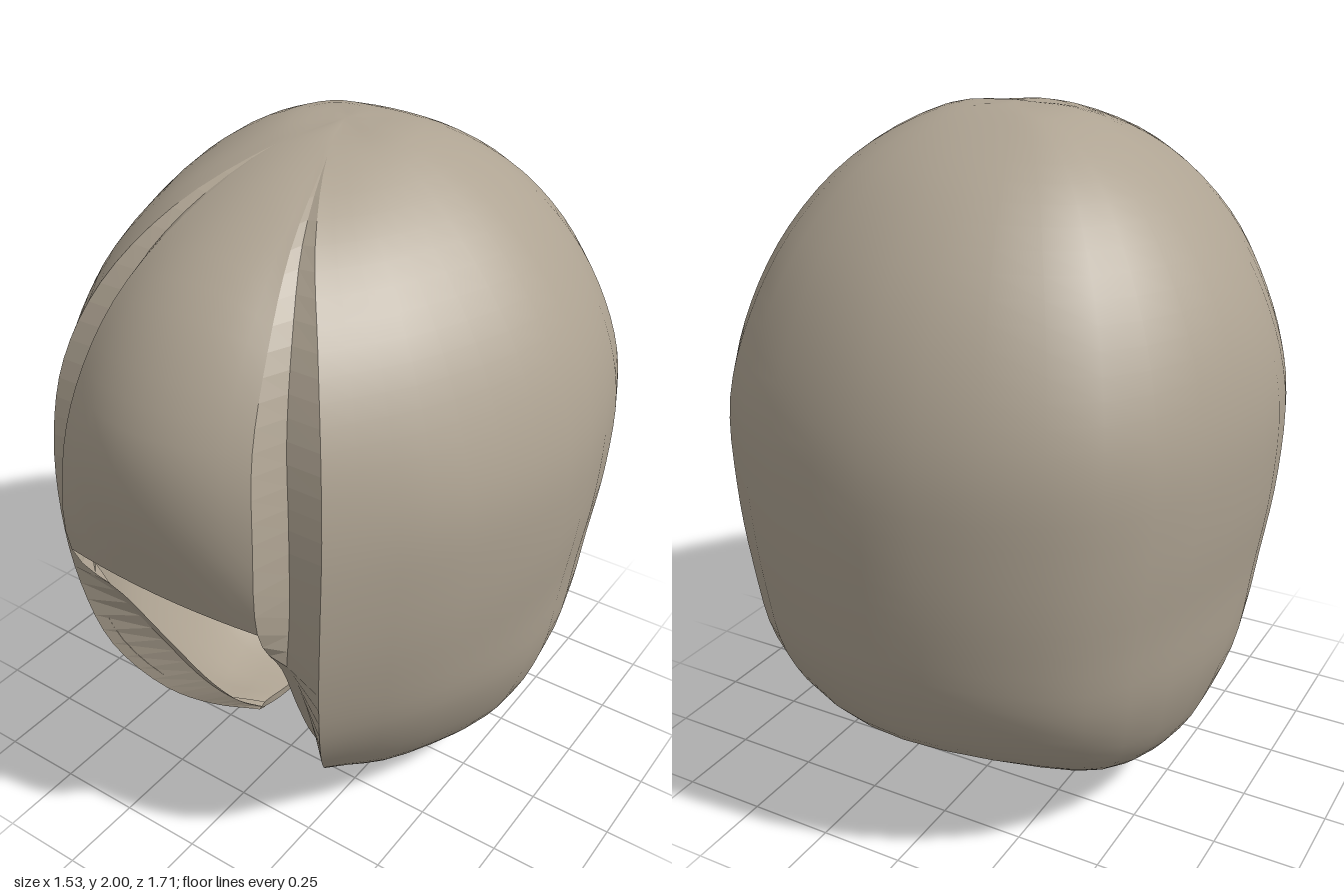
import * as THREE from 'three';
import { mergeGeometries, mergeVertices } from 'three/addons/utils/BufferGeometryUtils.js';

const STEP = 4; // subdivisions between control points
const ROWS = 11; // intervals from crown to hem
const FRINGE_ROWS = 6; // intervals from crown to fringe edge

const curve = (pts) => new THREE.CatmullRomCurve3(pts.map((p) => new THREE.Vector3(...p)));
const flip = (v) => new THREE.Vector3(-v.x, v.y, v.z);

// Meridians from crown to hem, flap corner round to the back centre
const corner = curve([[0, 2, -0.05], [0.08, 1.97, 0.15], [0.22, 1.85, 0.4], [0.34, 1.67, 0.56],
  [0.41, 1.47, 0.65], [0.44, 1.25, 0.69], [0.44, 1, 0.7], [0.42, 0.75, 0.68],
  [0.38, 0.5, 0.62], [0.3, 0.27, 0.49], [0.23, 0.14, 0.36], [0.15, 0.05, 0.22]]);
const cheek = curve([[0, 2, -0.05], [0.15, 1.97, 0.08], [0.34, 1.85, 0.22], [0.5, 1.67, 0.3],
  [0.6, 1.47, 0.34], [0.66, 1.25, 0.36], [0.66, 1, 0.36], [0.63, 0.75, 0.35],
  [0.58, 0.5, 0.32], [0.46, 0.23, 0.24], [0.32, 0.08, 0.18], [0.15, 0.02, 0.1]]);
const side = curve([[0, 2, -0.05], [0.2, 1.98, -0.05], [0.43, 1.85, -0.07], [0.6, 1.67, -0.09],
  [0.71, 1.47, -0.1], [0.76, 1.25, -0.1], [0.755, 1, -0.1], [0.72, 0.75, -0.1],
  [0.68, 0.48, -0.1], [0.57, 0.23, -0.1], [0.4, 0.08, -0.09], [0.16, 0, -0.06]]);
const backSide = curve([[0, 2, -0.05], [0.15, 1.98, -0.2], [0.32, 1.86, -0.36], [0.44, 1.68, -0.49],
  [0.52, 1.47, -0.58], [0.56, 1.25, -0.64], [0.555, 1, -0.65], [0.53, 0.75, -0.64],
  [0.5, 0.5, -0.6], [0.44, 0.29, -0.48], [0.32, 0.17, -0.36], [0.11, 0.1, -0.25]]);
const back = curve([[0, 2, -0.05], [0, 1.99, -0.2], [0, 1.87, -0.46], [0, 1.69, -0.65],
  [0, 1.49, -0.77], [0, 1.25, -0.84], [0, 1, -0.85], [0, 0.75, -0.83],
  [0, 0.55, -0.79], [0, 0.37, -0.7], [0, 0.34, -0.55], [0, 0.28, -0.4]]);

// Fringe edge, continuing down as the inner edge of the flap
const inner = curve([[0, 2, -0.05], [0.08, 1.97, 0.15], [0.17, 1.84, 0.43], [0.24, 1.67, 0.62],
  [0.28, 1.47, 0.74], [0.31, 1.25, 0.79], [0.315, 0.98, 0.79], [0.28, 0.75, 0.65],
  [0.23, 0.5, 0.52], [0.19, 0.28, 0.4], [0.16, 0.14, 0.3], [0.14, 0.05, 0.2]]);
const fringeCentre = curve([[0, 2, -0.05], [0, 1.98, 0.13], [0, 1.9, 0.37], [0, 1.72, 0.66],
  [0, 1.47, 0.83], [0, 1.25, 0.86], [0, 0.98, 0.81]]);

// Grid of quads; rows run down, columns run rightwards seen from outside
function grid(rows, cols, point, reversed = false) {
  const pos = [], idx = [];
  for (let i = 0; i <= rows; i++) {
    for (let j = 0; j <= cols; j++) pos.push(...point(i, j).toArray());
  }
  for (let i = 0; i < rows; i++) {
    for (let j = 0; j < cols; j++) {
      const a = i * (cols + 1) + j, b = a + cols + 1;
      idx.push(...(reversed ? [a, b + 1, b, a, a + 1, b + 1] : [a, b, b + 1, a, b + 1, a + 1]));
    }
  }
  const g = new THREE.BufferGeometry();
  g.setAttribute('position', new THREE.Float32BufferAttribute(pos, 3));
  g.setIndex(idx);
  return g;
}

function smooth(g) {
  const merged = mergeVertices(g, 1e-4);
  merged.computeVertexNormals();
  return merged;
}

export function createModel() {
  const model = new THREE.Group();
  const taupe = new THREE.MeshStandardMaterial({ color: 0xaea392, side: THREE.DoubleSide });
  taupe.name = 'taupe';
  const add = (name, geometry) => {
    const mesh = new THREE.Mesh(geometry, taupe);
    mesh.name = name;
    model.add(mesh);
  };

  const rows = ROWS * STEP, cols = 8 * STEP;
  const cornerAt = (i) => corner.getPoint(i / rows);
  const innerAt = (i) => (i <= STEP ? cornerAt(i) : inner.getPoint(i / rows));

  // Rings around the sides and back
  const rings = [];
  for (let i = 0; i <= rows; i++) {
    const half = [corner, cheek, side, backSide].map((c) => c.getPoint(i / rows));
    const ring = [...half, back.getPoint(i / rows), ...half.map(flip).reverse()];
    const loop = new THREE.CatmullRomCurve3(ring, false, 'catmullrom', 0.5);
    rings.push(Array.from({ length: cols + 1 }, (_, j) => loop.getPoint(j / cols)));
  }
  const shell = grid(rows, cols, (i, j) => rings[i][j]);

  // Fringe, bowed forward between its two edges
  const fringeRows = FRINGE_ROWS * STEP, fringeCols = 10;
  const fringe = grid(fringeRows, fringeCols, (i, j) => {
    const s = (j / fringeCols) * 2 - 1;
    const edge = innerAt(i), mid = fringeCentre.getPoint(i / fringeRows);
    const p = mid.lerp(edge, s * s);
    p.x = edge.x * s;
    return p;
  });
  add('outerHair', smooth(mergeGeometries([shell, fringe])));

  // Lining set in from the outer shell, and the hem joining the two
  const normals = shell.clone();
  normals.computeVertexNormals();
  const n = normals.attributes.normal;
  const liningAt = (i, j) => {
    const v = new THREE.Vector3().fromBufferAttribute(n, i * (cols + 1) + j);
    if (i === 0) v.set(0, 1, 0);
    return rings[i][j].clone().addScaledVector(v, -0.035);
  };
  add('lining', smooth(grid(rows, cols, liningAt, true)));
  add('hem', smooth(grid(1, cols, (i, j) => (i ? liningAt(rows, j) : rings[rows][j]))));

  // Folded facets between each flap corner and the fringe
  const foldAt = (i, j) => {
    const a = cornerAt(i), g = innerAt(i);
    if (j === 0) return g;
    if (j === 2) return a;
    return new THREE.Vector3(g.x + (a.x - g.x) * 0.25, (a.y + g.y) / 2, Math.min(a.z, g.z));
  };
  for (const [name, at] of [
    ['leftFold', foldAt],
    ['rightFold', (i, j) => flip(foldAt(i, 2 - j))],
  ]) {
    const g = grid(rows, 2, at).toNonIndexed();
    g.computeVertexNormals();
    add(name, g);
  }
  return model;
}
